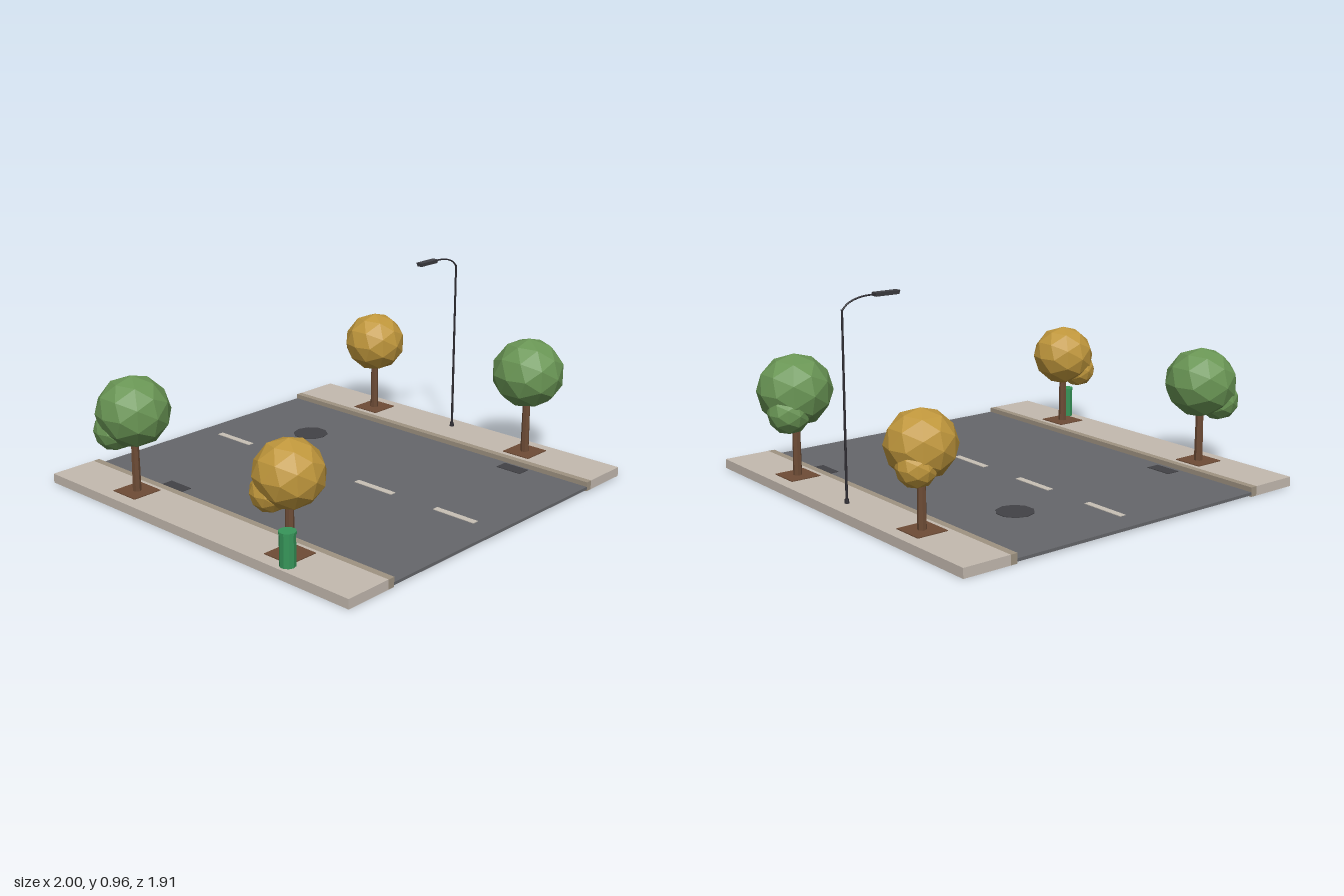
import * as THREE from 'three';

const mat = (name, color, extra = {}) => {
  const m = new THREE.MeshStandardMaterial({ color, flatShading: true, ...extra });
  m.name = name;
  return m;
};

export function createModel() {
  const M = {
    paving: mat('paving', 0xc4bab0, { side: THREE.DoubleSide }),
    curb: mat('curb stone', 0x9f9382),
    asphalt: mat('asphalt', 0x66676b),
    paint: mat('road paint', 0xc8c1b6),
    iron: mat('cast iron', 0x424246),
    pole: mat('pole metal', 0x2e2c32),
    bark: mat('bark', 0x6e4c36),
    green: mat('green leaves', 0x6a9655),
    gold: mat('golden leaves', 0xc0973c),
    bin: mat('bin green', 0x37965a),
  };
  const root = new THREE.Group();
  root.name = 'street';
  const CX = -0.005, HALF = 0.957, TOP = 0.045, ROAD = 0.022;

  const add = (parent, name, geometry, material, x, y, z) => {
    const mesh = new THREE.Mesh(geometry, material);
    mesh.name = name;
    mesh.position.set(x, y, z);
    parent.add(mesh);
    return mesh;
  };
  const box = (parent, name, material, w, h, d, x, y, z) =>
    add(parent, name, new THREE.BoxGeometry(w, h, d), material, x, y, z);

  // road slab
  box(root, 'road', M.asphalt, 1.38, 0.014, 2 * HALF, CX, ROAD - 0.007, 0);

  // sidewalks (hollow, open underneath) and curbs
  for (const s of [-1, 1]) {
    const walk = new THREE.BoxGeometry(0.235, TOP, 2 * HALF);
    const index = Array.from(walk.index.array);
    index.splice(18, 6); // drop the bottom face
    walk.setIndex(index);
    walk.clearGroups();
    add(root, 'sidewalk', walk, M.paving, CX + s * 0.8395, TOP / 2, 0);
    box(root, 'curb', M.curb, 0.034, TOP, 2 * HALF, CX + s * 0.705, TOP / 2, 0);
  }

  // centre line dashes
  for (const z of [-0.722, -0.241, 0.236, 0.717])
    box(root, 'laneDash', M.paint, 0.032, 0.004, 0.23, -0.003, ROAD + 0.001, z);

  // drains and manhole cover
  box(root, 'drain', M.iron, 0.068, 0.004, 0.138, -0.636, ROAD + 0.001, -0.45);
  box(root, 'drain', M.iron, 0.068, 0.004, 0.138, 0.634, ROAD + 0.001, 0.562);
  add(root, 'manholeCover', new THREE.CylinderGeometry(0.088, 0.088, 0.004, 10), M.iron, 0.322, ROAD + 0.001, -0.5);

  // trees: trunk, soil square, main crown and a smaller low clump
  const tree = (x, z, r, crownY, leaves) => {
    const t = new THREE.Group();
    t.name = 'tree';
    t.position.set(x, 0, z);
    root.add(t);
    const s = Math.sign(x), k = r / 0.176;
    box(t, 'treePit', M.bark, 0.152, 0.006, 0.152, 0, TOP + 0.001, 0);
    const h = crownY - TOP;
    add(t, 'trunk', new THREE.CylinderGeometry(0.017, 0.021, h, 7), M.bark, 0, TOP + h / 2, 0);
    const crown = add(t, 'crown', new THREE.IcosahedronGeometry(r, 1), leaves, 0, crownY, 0);
    crown.scale.y = 0.97;
    add(t, 'lowerClump', new THREE.IcosahedronGeometry(0.1 * k, 1), leaves,
      s * 0.066 * k, crownY - 0.085 * k, -0.056 * k);
  };
  tree(0.818, 0.5, 0.178, 0.455, M.green);
  tree(-0.826, -0.5, 0.174, 0.435, M.green);
  tree(0.818, -0.5, 0.158, 0.415, M.gold);
  tree(-0.826, 0.5, 0.158, 0.405, M.gold);

  // street lamp: base, pole, curved arm and head
  const lamp = new THREE.Group();
  lamp.name = 'streetLamp';
  root.add(lamp);
  const px = 0.866;
  add(lamp, 'lampBase', new THREE.CylinderGeometry(0.009, 0.012, 0.02, 8), M.pole, px, TOP + 0.01, 0);
  add(lamp, 'lampPole', new THREE.CylinderGeometry(0.005, 0.006, 0.86, 8), M.pole, px, TOP + 0.43, 0);
  const arm = new THREE.CatmullRomCurve3([
    [px, 0.9], [0.842, 0.925], [0.805, 0.942], [0.76, 0.952], [0.695, 0.955],
  ].map(([x, y]) => new THREE.Vector3(x, y, 0)));
  add(lamp, 'lampArm', new THREE.TubeGeometry(arm, 10, 0.004, 6), M.pole, 0, 0, 0);
  const head = new THREE.BoxGeometry(0.128, 0.018, 0.034);
  const p = head.attributes.position;
  for (let i = 0; i < p.count; i++) // narrow the underside
    if (p.getY(i) < 0) p.setXYZ(i, p.getX(i) * 0.94, p.getY(i), p.getZ(i) * 0.8);
  head.computeVertexNormals();
  add(lamp, 'lampHead', head, M.iron, 0.639, 0.954, 0);

  // litter bin with a slim lid
  add(root, 'litterBin', new THREE.CylinderGeometry(0.036, 0.036, 0.145, 10), M.bin, -0.912, TOP + 0.0725, 0.573);
  add(root, 'binLid', new THREE.CylinderGeometry(0.039, 0.039, 0.012, 10), M.bin, -0.912, 0.194, 0.573);

  return root;
}
